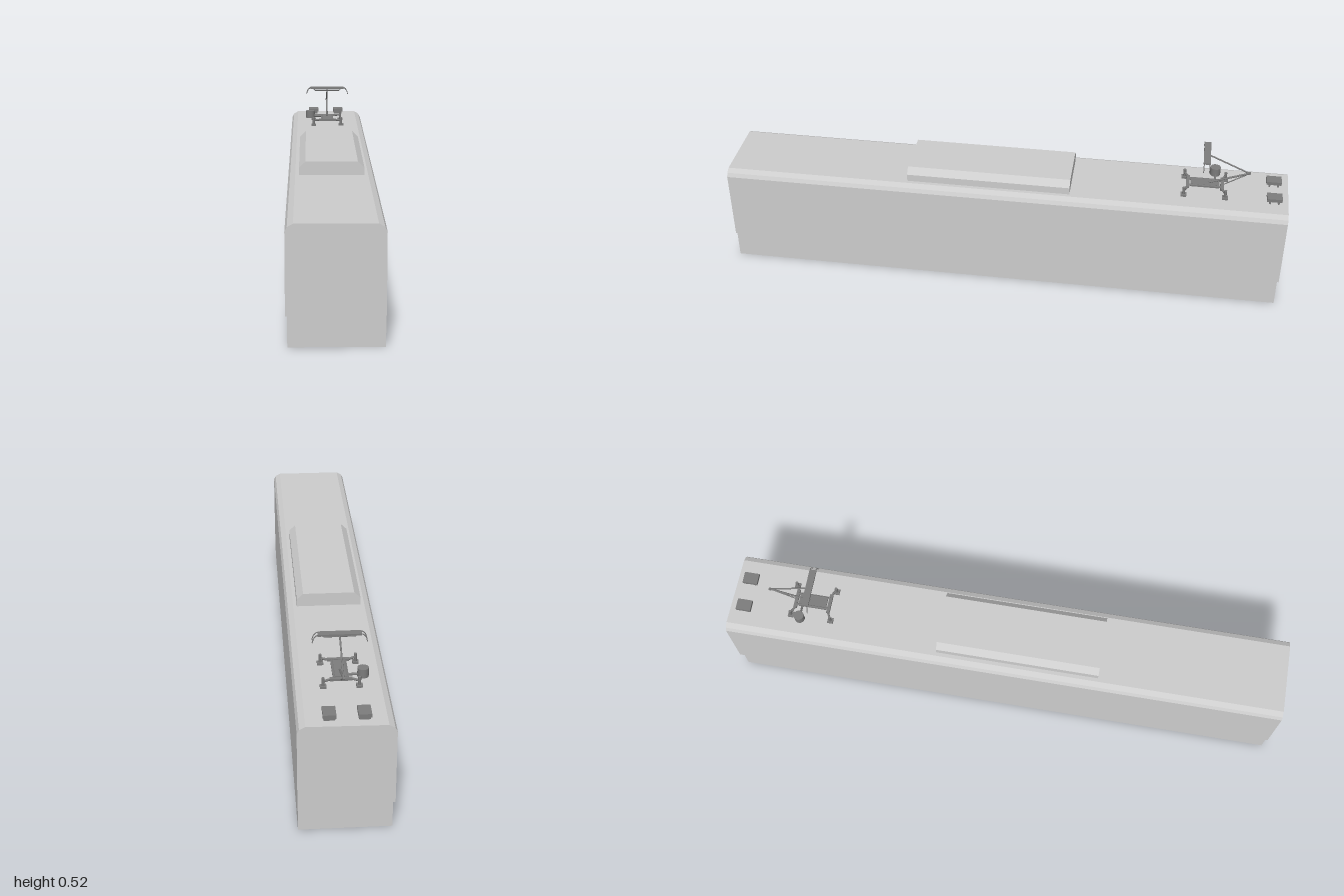
import * as THREE from 'three';

export function createModel() {
  const root = new THREE.Group();
  const shellGrey = new THREE.MeshStandardMaterial({ color: 0xcccccc, side: THREE.DoubleSide });
  shellGrey.name = 'shell grey';
  const darkGrey = new THREE.MeshStandardMaterial({ color: 0x7c7c7c });
  darkGrey.name = 'equipment dark grey';

  const add = (parent, name, geometry, material, x = 0, y = 0, z = 0) => {
    const mesh = new THREE.Mesh(geometry, material);
    mesh.name = name;
    mesh.position.set(x, y, z);
    parent.add(mesh);
    return mesh;
  };
  const box = (parent, name, w, h, d, x, y, z) =>
    add(parent, name, new THREE.BoxGeometry(w, h, d), darkGrey, x, y, z);
  const toVectors = (points) => points.map(([x, y]) => new THREE.Vector2(x, y));
  const prism = (points, z0, z1) =>
    new THREE.ExtrudeGeometry(new THREE.Shape(toVectors(points)), { depth: z1 - z0, bevelEnabled: false })
      .translate(0, 0, z0);
  // Straight rod between two points
  const rod = (parent, name, a, b, r) => {
    const from = new THREE.Vector3(...a), to = new THREE.Vector3(...b);
    const dir = to.clone().sub(from);
    const mesh = add(parent, name, new THREE.CylinderGeometry(r, r, dir.length(), 8), darkGrey);
    mesh.position.copy(from).add(to).multiplyScalar(0.5);
    mesh.quaternion.setFromUnitVectors(new THREE.Vector3(0, 1, 0), dir.normalize());
    return mesh;
  };

  // Main body with rounded roof shoulders and a recessed underside
  const upperProfile = [
    [0.148, 0.097], [0.148, 0.35], [0.141, 0.364], [0.123, 0.374],
    [-0.123, 0.374], [-0.141, 0.364], [-0.148, 0.35], [-0.148, 0.097],
  ];
  const recess = [[-0.14, 0.097], [-0.14, 0.117], [0.145, 0.117], [0.145, 0.097]];
  add(root, 'body', prism([...upperProfile, ...recess], -0.99, 0.992), shellGrey);

  // End walls; the rear one is very slightly skewed
  add(root, 'frontWall', prism(upperProfile, 0.992, 1), shellGrey);
  const rearGeometry = prism(upperProfile, -1, -0.99);
  const pos = rearGeometry.attributes.position;
  for (let i = 0; i < pos.count; i++) {
    if (pos.getZ(i) < -0.995) pos.setZ(i, -1 + 0.006 * (pos.getX(i) + 0.148) / 0.296);
  }
  rearGeometry.computeVertexNormals();
  add(root, 'rearWall', rearGeometry, shellGrey);

  // Skirt: thin walls, open underneath
  const skirt = new THREE.Shape(toVectors([[-0.142, -0.995], [0.147, -0.995], [0.147, 0.988], [-0.142, 0.988]]));
  skirt.holes.push(new THREE.Path(toVectors([[-0.14, -0.993], [-0.14, 0.986], [0.145, 0.986], [0.145, -0.993]])));
  const skirtGeometry = new THREE.ExtrudeGeometry(skirt, { depth: 0.097, bevelEnabled: false });
  add(root, 'skirt', skirtGeometry.rotateX(-Math.PI / 2), shellGrey);

  // Chamfered roof housing
  add(root, 'roofHousing', prism([
    [-0.11, 0.372], [0.11, 0.372], [0.11, 0.4], [0.088, 0.421], [-0.088, 0.421], [-0.11, 0.4],
  ], -0.237, 0.343), shellGrey);

  // Roof boxes on short legs
  for (const x of [-0.055, 0.05]) {
    const unit = new THREE.Group();
    unit.name = 'roofBox';
    root.add(unit);
    box(unit, 'lid', 0.04, 0.012, 0.053, x, 0.391, -0.947);
    for (const dz of [-0.015, 0.015]) box(unit, 'leg', 0.034, 0.013, 0.006, x, 0.3795, -0.947 + dz);
  }

  // Current collector
  const collector = new THREE.Group();
  collector.name = 'currentCollector';
  root.add(collector);

  // Base frame on four insulated feet
  box(collector, 'basePlate', 0.05, 0.006, 0.1, 0, 0.396, -0.705);
  for (const z of [-0.765, -0.645]) {
    box(collector, 'crossBeam', 0.07, 0.008, 0.012, 0, 0.395, z);
    const footZ = z + Math.sign(z + 0.705) * 0.012;
    for (const side of [-1, 1]) {
      const x = side * 0.056;
      rod(collector, 'outrigger', [side * 0.033, 0.395, z], [x, 0.395, footZ], 0.004);
      box(collector, 'footPad', 0.02, 0.007, 0.02, x, 0.3775, footZ);
      rod(collector, 'insulator', [x, 0.378, footZ], [x, 0.408, footZ], 0.005);
    }
  }
  for (const side of [-1, 1]) {
    rod(collector, 'baseRail', [side * 0.02, 0.396, -0.765], [side * 0.02, 0.396, -0.645], 0.004);
  }

  // Raising drum beside the frame
  add(collector, 'drum', new THREE.CylinderGeometry(0.018, 0.018, 0.03, 16), darkGrey, -0.07, 0.404, -0.74);
  rod(collector, 'drumMount', [-0.07, 0.396, -0.74], [-0.02, 0.396, -0.74], 0.004);

  // Folding arm
  rod(collector, 'lowerArm', [0, 0.398, -0.715], [0, 0.45, -0.855], 0.0035);
  rod(collector, 'controlRod', [0, 0.392, -0.765], [0, 0.445, -0.848], 0.002);
  rod(collector, 'upperArm', [0, 0.45, -0.855], [0, 0.517, -0.703], 0.0028);
  rod(collector, 'elbow', [-0.004, 0.45, -0.855], [0.004, 0.45, -0.855], 0.0045);

  // Contact head with drooping horns
  rod(collector, 'headBar', [-0.05, 0.51, -0.703], [0.05, 0.51, -0.703], 0.0025);
  box(collector, 'contactStrip', 0.136, 0.006, 0.024, 0, 0.52, -0.703);
  for (const side of [-1, 1]) {
    rod(collector, 'headBracket', [side * 0.05, 0.51, -0.703], [side * 0.057, 0.518, -0.703], 0.002);
    for (const z of [-0.713, -0.693]) {
      const horn = new THREE.QuadraticBezierCurve3(
        new THREE.Vector3(side * 0.066, 0.521, z),
        new THREE.Vector3(side * 0.081, 0.52, z),
        new THREE.Vector3(side * 0.085, 0.495, z));
      add(collector, 'horn', new THREE.TubeGeometry(horn, 8, 0.0016, 6), darkGrey);
    }
  }
  return root;
}
